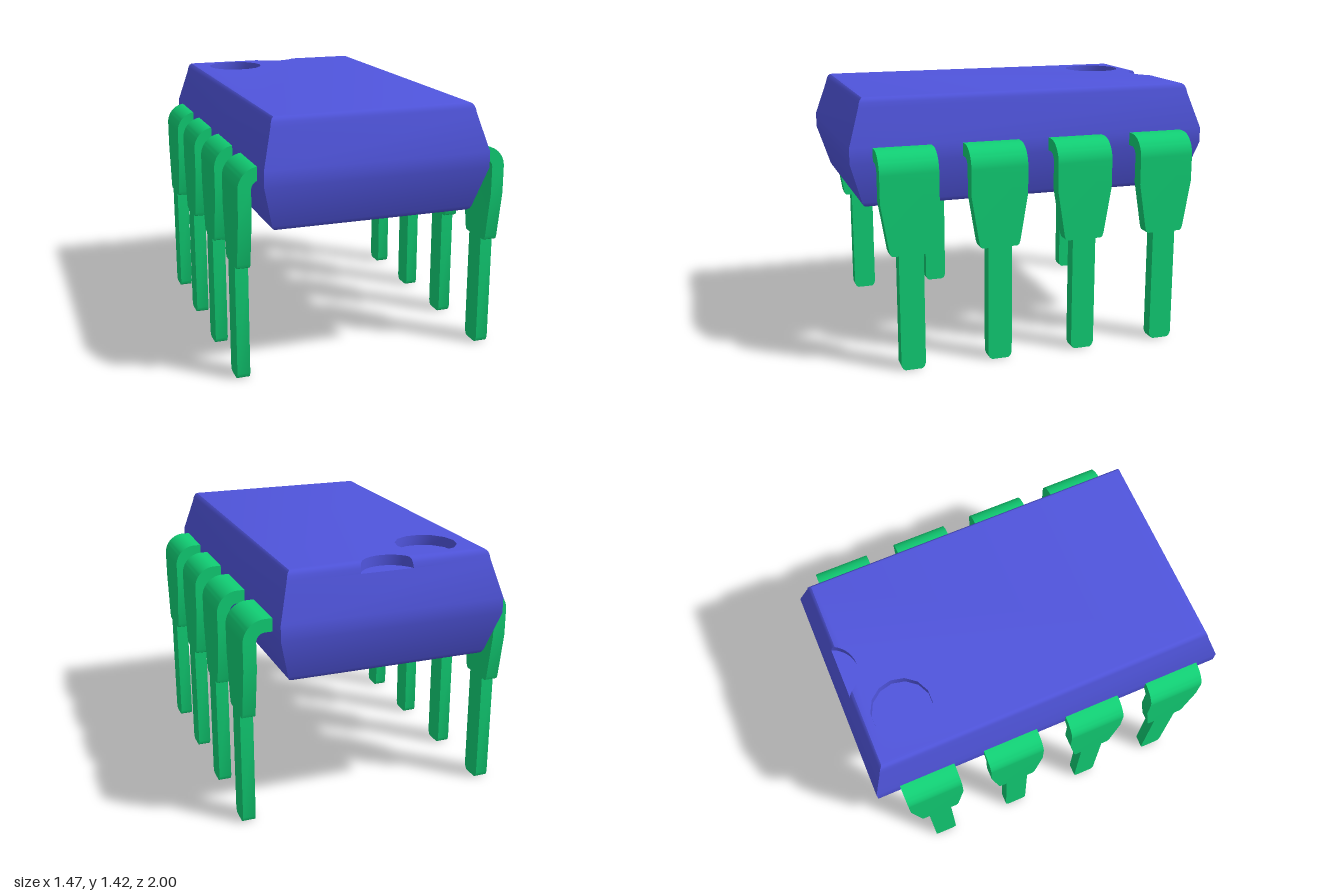
import * as THREE from 'three';
import { mergeGeometries, toCreasedNormals } from 'three/addons/utils/BufferGeometryUtils.js';

const bodyMat = new THREE.MeshStandardMaterial({ color: 0x5055dd });
const leadMat = new THREE.MeshStandardMaterial({ color: 0x11d075 });
const X0 = -0.635, X1 = 0.582;                 // body sides at the belt
const FLOOR = 1.37;                            // floor of the notch and dimple
const NOTCH = { z: -0.995, r: 0.155 };
const DIMPLE = { x: -0.32, z: -0.71, r: 0.163, sides: 14 };

// Body levels from bottom to top: height, inset in x, inset in z
const LEVELS = [
  [0.845, 0.088, 0.1], [0.848, 0.075, 0.086], [0.856, 0.065, 0.076], [0.872, 0.058, 0.068],
  [1.092, 0, 0], [1.176, 0, 0],
  [FLOOR, 0.053, 0.062], [1.396, 0.058, 0.068], [1.413, 0.065, 0.076], [1.422, 0.075, 0.086], [1.425, 0.088, 0.1],
];
const FIRST_CUT = 6, TOP = LEVELS.length - 1;

const flat = (shape, y, up) => {
  const g = new THREE.ShapeGeometry(shape);
  g.rotateX(up ? -Math.PI / 2 : Math.PI / 2).translate(0, y, 0);
  g.deleteAttribute('uv');
  return g.toNonIndexed();
};
const toShape = pts => new THREE.Shape(pts.map(([x, y]) => new THREE.Vector2(x, y)));

function bodyGeometry() {
  const pos = [];
  const quad = (a, b, c, d) => pos.push(...a, ...b, ...c, ...a, ...c, ...d);
  const rings = LEVELS.map(([y, ix, iz]) => [
    [X0 + ix, y, 1 - iz], [X1 - ix, y, 1 - iz], [X1 - ix, y, iz - 1], [X0 + ix, y, iz - 1],
  ]);
  // Half-angle of the notch circle where it meets the back at each level
  const angle = k => Math.acos((LEVELS[k][2] - 1 - NOTCH.z) / NOTCH.r);
  const cut = (k, s) => [s * NOTCH.r * Math.sin(angle(k)), LEVELS[k][0], LEVELS[k][2] - 1];

  // Sloping sides, with the upper back split around the notch
  for (let k = 0; k < TOP; k++) {
    for (let i = 0; i < 4; i++) {
      const j = (i + 1) % 4;
      const [a, b, c, d] = [rings[k][i], rings[k][j], rings[k + 1][j], rings[k + 1][i]];
      if (i === 2 && k >= FIRST_CUT) {
        quad(a, cut(k, 1), cut(k + 1, 1), d);
        quad(cut(k, -1), b, c, cut(k + 1, -1));
      } else quad(a, b, c, d);
    }
  }

  // Curved notch wall
  const arc = [];
  for (let k = FIRST_CUT; k <= TOP; k++) arc.push([-angle(k), LEVELS[k][0]]);
  const t = angle(TOP);
  for (let i = 1; i < 10; i++) arc.push([-t + 2 * t * i / 10, LEVELS[TOP][0]]);
  for (let k = TOP; k >= FIRST_CUT; k--) arc.push([angle(k), LEVELS[k][0]]);
  const at = ([u], y) => [NOTCH.r * Math.sin(u), y, NOTCH.z + NOTCH.r * Math.cos(u)];
  for (let i = 0; i < arc.length - 1; i++) {
    const p = arc[i], q = arc[i + 1];
    quad(at(q, FLOOR), at(p, FLOOR), at(p, p[1]), at(q, q[1]));
  }

  // Dimple wall
  const circle = [];
  for (let i = 0; i < DIMPLE.sides; i++) {
    const u = i / DIMPLE.sides * Math.PI * 2;
    circle.push([DIMPLE.x + DIMPLE.r * Math.cos(u), -DIMPLE.z + DIMPLE.r * Math.sin(u)]);
  }
  const topY = LEVELS[TOP][0];
  circle.forEach(([x, y], i) => {
    const [x2, y2] = circle[(i + 1) % circle.length];
    quad([x2, FLOOR, -y2], [x, FLOOR, -y], [x, topY, -y], [x2, topY, -y2]);
  });

  const sides = new THREE.BufferGeometry();
  sides.setAttribute('position', new THREE.Float32BufferAttribute(pos, 3));
  sides.computeVertexNormals();

  // Top with dimple and notch, recess floors, underside
  const plan = p => [p[0], -p[2]];
  const [c0, c1, c2, c3] = rings[TOP].map(plan);
  const rim = arc.filter(p => p[1] === topY && Math.abs(p[0]) <= t).map(p => plan(at(p, topY))).reverse();
  const top = toShape([c0, c1, c2, ...rim, c3]);
  top.holes.push(new THREE.Path(circle.map(([x, y]) => new THREE.Vector2(x, y))));
  return toCreasedNormals(mergeGeometries([
    sides,
    flat(top, topY, true),
    flat(toShape(circle), FLOOR, true),
    flat(toShape(arc.map(p => plan(at(p, FLOOR)))), FLOOR, true),
    flat(toShape(rings[0].map(p => [p[0], p[2]])), LEVELS[0][0], false),
  ]), 0.5);
}

function leadGeometry() {
  const thick = 0.07, outer = 0.737, bendX = 0.62, bendY = 1.055;
  // Flat blade: wide shoulder tapering to a narrow pin
  const half = [
    [0.045, 0], [0.057, 0.008], [0.066, 0.03], [0.066, 0.63], [0.095, 0.63], [0.106, 0.636],
    [0.113, 0.655], [0.155, 0.91], [0.155, bendY],
  ];
  const mirrored = half.map(([x, y]) => [-x, y]).reverse();
  const blade = new THREE.ExtrudeGeometry(toShape([...half, ...mirrored]), { depth: thick, bevelEnabled: false });
  blade.rotateY(Math.PI / 2).translate(outer - thick, 0, 0);

  // Shoulder bend running into the body
  const s = new THREE.Shape();
  const R = outer - bendX;
  s.moveTo(0.5, bendY + R - thick);
  s.lineTo(bendX, bendY + R - thick);
  s.absarc(bendX, bendY, R - thick, Math.PI / 2, 0, true);
  s.lineTo(outer, bendY);
  s.absarc(bendX, bendY, R, 0, Math.PI / 2, false);
  s.lineTo(0.5, bendY + R);
  const bend = new THREE.ExtrudeGeometry(s, { depth: 0.31, bevelEnabled: false, curveSegments: 8 });
  bend.translate(0, 0, -0.155);
  return toCreasedNormals(mergeGeometries([blade, bend]), 0.5);
}

export function createModel() {
  const model = new THREE.Group();
  model.name = 'dualInlineChip';

  const body = new THREE.Mesh(bodyGeometry(), bodyMat);
  body.name = 'body';
  model.add(body);

  // Four leads on each side
  const geometry = leadGeometry();
  for (const side of [1, -1]) {
    for (let i = 0; i < 4; i++) {
      const lead = new THREE.Mesh(geometry, leadMat);
      lead.name = (side > 0 ? 'leftLead' : 'rightLead') + (i + 1);
      lead.position.z = 0.725 - i * 0.48;
      if (side < 0) lead.rotation.y = Math.PI;
      model.add(lead);
    }
  }
  return model;
}
